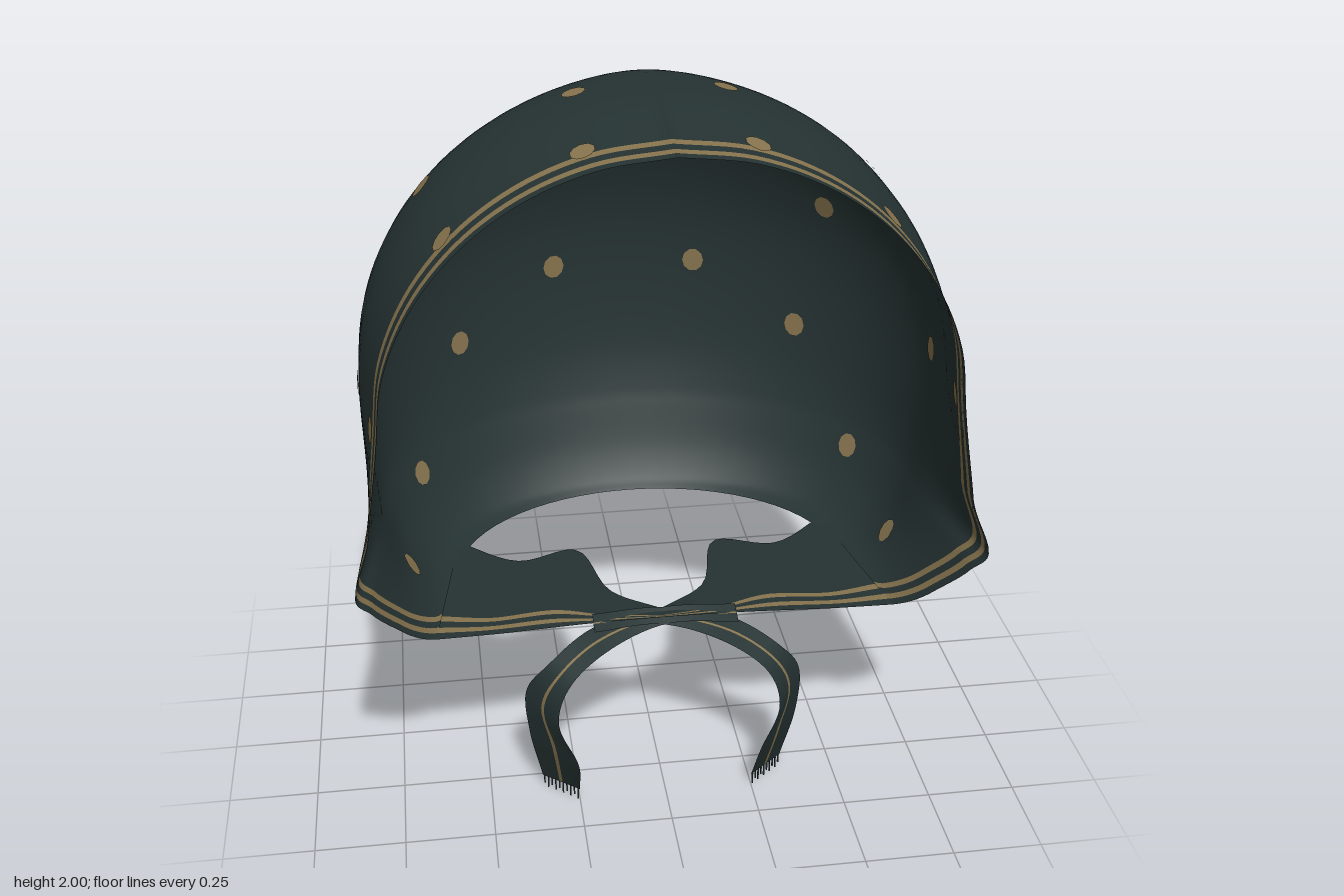
import * as THREE from 'three';

const cloth = new THREE.MeshStandardMaterial({ color: 0x263333, side: THREE.DoubleSide });
cloth.name = 'dark cloth';
const tan = new THREE.MeshStandardMaterial({ color: 0x88754f, side: THREE.DoubleSide });
tan.name = 'tan print';
const mats = [cloth, tan];

// Hood profile rows: [half width, height, back z, rim z, rim scale]
const rows = [
  [0.56, 0.57, -0.40, 0.28, 1], [0.63, 0.60, -0.43, 0.40, 1], [0.70, 0.68, -0.475, 0.48, 1.01],
  [0.75, 0.80, -0.52, 0.56, 1.05], [0.765, 0.86, -0.54, 0.585, 1.075], [0.78, 1.0, -0.57, 0.55, 1.0],
];
for (let i = 0; i <= 6; i++) {
  const a = (i / 6) * Math.PI / 2, c = Math.max(0, Math.cos(a));
  rows.push([0.79 * c, 1.25 + 0.75 * Math.sin(a), -0.05 - 0.53 * Math.pow(c, 1.1), 0.535 - 0.02 * (i / 6), 0.94]);
}
const profile = new THREE.CatmullRomCurve3(rows.map(r => new THREE.Vector3(r[0], r[1], r[2])));
const rim = new THREE.CatmullRomCurve3(rows.map(r => new THREE.Vector3(r[3], r[4], 0)), false, 'catmullrom', 0.4);

// c runs 0..4 around the hood: right rim, back centre at 2, left rim; t runs from hem to crown
function hoodPoint(c, t) {
  const side = c > 2 ? -1 : 1, q = c > 2 ? 4 - c : c, z0 = 0.05;
  const p = profile.getPoint(t), r = rim.getPoint(t);
  let x = Math.max(0, p.x), y = p.y, z;
  if (q <= 1) {
    z = q <= 0.12 ? r.x - q : THREE.MathUtils.lerp(r.x - 0.12, z0, (q - 0.12) / 0.88);
    const b = THREE.MathUtils.smoothstep(z, 0.12, r.x + 0.02);
    const k = 1 + (r.y - 1) * b;
    x *= k;
    if (y > 1.25) y = 1.25 + (y - 1.25) * k;
  } else {
    const a = (q - 1) * Math.PI / 2;
    x *= Math.cos(a);
    z = z0 + (p.z - z0) * Math.sin(a);
  }
  return new THREE.Vector3(side * x, y, z);
}

// Curved sheet; column i uses the material index isTan(i)
function sheet(name, fn, cols, nt, isTan) {
  const pos = [], idx = [], g = new THREE.BufferGeometry(), n = nt + 1;
  for (const c of cols) for (let j = 0; j <= nt; j++) pos.push(...fn(c, j / nt).toArray());
  for (let i = 0; i < cols.length - 1; i++) {
    g.addGroup(idx.length, nt * 6, isTan(i) ? 1 : 0);
    for (let j = 0; j < nt; j++) {
      const a = i * n + j, b = a + n;
      idx.push(a, b, a + 1, b, b + 1, a + 1);
    }
  }
  g.setAttribute('position', new THREE.Float32BufferAttribute(pos, 3));
  g.setIndex(idx);
  g.computeVertexNormals();
  const m = new THREE.Mesh(g, mats);
  m.name = name;
  return m;
}

const curve = pts => new THREE.CatmullRomCurve3(pts.map(p => new THREE.Vector3(...p)));
const mirrored = (pts, s) => pts.map(([x, y, z]) => [x * s, y, z]);
const between = (a, b) => (c, t) => a.getPoint(t).lerp(b.getPoint(t), c);

// Small printed spot lying on both faces of the hood, nearest to the target
function spot(x, y, z) {
  const target = new THREE.Vector3(x, y, z);
  let best = [0, 0], dist = 1e9;
  for (let i = 0; i <= 160; i++) for (let j = 1; j < 100; j++) {
    const d = hoodPoint(i / 40, j / 100).distanceTo(target);
    if (d < dist) { dist = d; best = [i / 40, j / 100]; }
  }
  const [c, t] = best, e = 0.01, p = hoodPoint(c, t);
  const dc = hoodPoint(Math.min(4, c + e), t).sub(hoodPoint(Math.max(0, c - e), t));
  const dt = hoodPoint(c, Math.min(1, t + e)).sub(hoodPoint(c, Math.max(0, t - e)));
  const n = dc.cross(dt).normalize();
  const g = new THREE.Group();
  g.name = 'spot';
  for (const s of [1, -1]) {
    const m = new THREE.Mesh(new THREE.CircleGeometry(0.032, 10), tan);
    m.name = 'spotFace';
    m.position.copy(p).addScaledVector(n, 0.004 * s);
    m.quaternion.setFromUnitVectors(new THREE.Vector3(0, 0, 1), n.clone().multiplyScalar(s));
    m.scale.y = 1.15;
    g.add(m);
  }
  return g;
}

export function createModel() {
  const model = new THREE.Group();
  model.name = 'bonnet';

  // Hood with two printed stripes following the rim
  const half = [0, 0.03, 0.055, 0.085, 0.11, 0.12];
  for (let i = 1; i <= 8; i++) half.push(0.12 + 0.88 * i / 8);
  for (let i = 1; i <= 16; i++) half.push(1 + i / 16);
  const cols = [...half, ...half.slice(0, -1).reverse().map(c => 4 - c)];
  const last = cols.length - 2, nt = 72;
  const hood = sheet('hood', hoodPoint, cols, nt, i => [1, 3].includes(Math.min(i, last - i)));
  const normals = hood.geometry.attributes.normal;
  for (let i = 0; i < cols.length; i++) normals.setXYZ(i * (nt + 1) + nt, 0, 1, 0);
  model.add(hood);

  // Printed spots, mirrored
  const spots = [
    [0.21, 1.79, -0.36], [0.58, 1.51, -0.34], [0.21, 1.28, -0.56], [0.5, 1.1, -0.43],
    [0.6, 1.74, 0.03], [0.79, 1.235, 0.07], [0.69, 0.66, 0.11], [0.68, 0.76, -0.24],
    [0.2, 1.97, 0.03], [0.2, 1.93, 0.4], [0.54, 1.72, 0.4], [0.76, 1.25, 0.415],
  ];
  for (const [x, y, z] of spots) for (const s of [1, -1]) model.add(spot(x * s, y, z));

  for (const s of [1, -1]) {
    const label = s > 0 ? 'left' : 'right';

    // Chin flap reaching inward from the lower side
    const front = curve(mirrored([[0.63, 0.6, 0.4], [0.45, 0.59, 0.38], [0.22, 0.58, 0.35], [0, 0.57, 0.33]], s));
    const back = curve(mirrored([[0.55, 0.57, -0.15], [0.38, 0.57, -0.02], [0.21, 0.57, -0.06], [0.13, 0.57, 0.18], [0, 0.56, 0.27]], s));
    model.add(sheet(label + 'ChinFlap', between(front, back), [0, 0.06, 0.11, 0.17, 0.22, 0.6, 1], 24, i => i === 1 || i === 3));

    // Tie ribbon crossing under the chin and hanging down
    const outer = curve(mirrored([[-0.2, 0.59, 0.32], [0, 0.57, 0.28], [0.2, 0.53, 0.3], [0.33, 0.46, 0.36],
      [0.39, 0.36, 0.33], [0.385, 0.22, 0.33], [0.35, 0.035, 0.3]], s));
    const inner = curve(mirrored([[-0.2, 0.57, 0.38], [0, 0.545, 0.33], [0.18, 0.5, 0.39], [0.28, 0.43, 0.44],
      [0.31, 0.32, 0.45], [0.26, 0.19, 0.46], [0.25, 0.035, 0.38]], s));
    model.add(sheet(label + 'Tie', between(outer, inner), [0, 0.25, 0.46, 0.54, 0.75, 1], 40, i => i === 2));

    // Frayed threads at the ribbon end
    const fringe = new THREE.Group();
    fringe.name = label + 'Fringe';
    for (let i = 0; i < 10; i++) {
      const len = 0.025 + 0.011 * (i % 2);
      const thread = new THREE.Mesh(new THREE.BoxGeometry(0.004, len, 0.004), cloth);
      thread.name = 'thread';
      thread.position.copy(outer.getPoint(1)).lerp(inner.getPoint(1), (i + 0.5) / 10);
      thread.position.y = 0.036 - len / 2;
      fringe.add(thread);
    }
    model.add(fringe);
  }
  return model;
}
